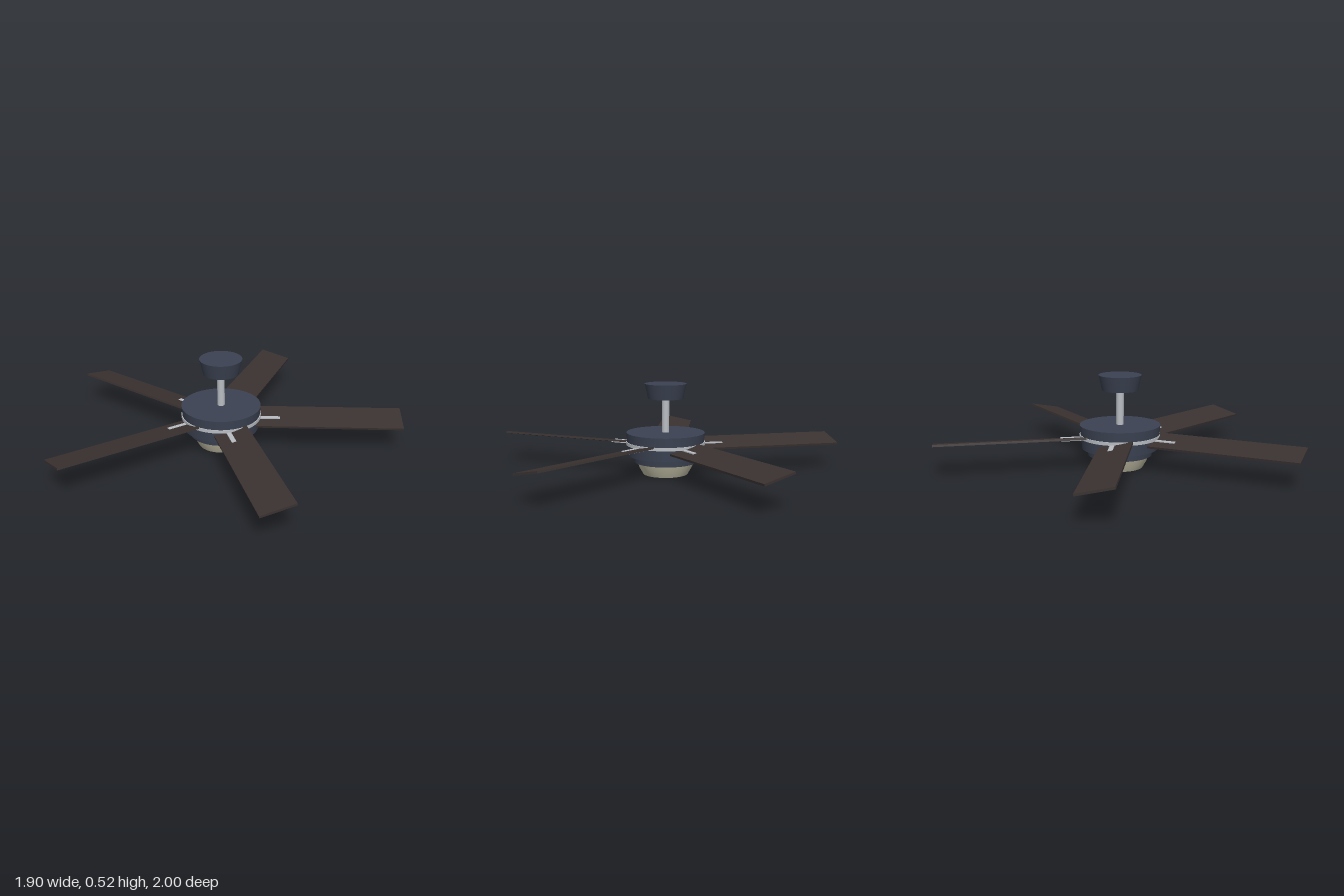
import * as THREE from 'three';

export function createModel() {
  const fan = new THREE.Group();
  fan.name = 'ceilingFan';

  const material = (name, color) => {
    const m = new THREE.MeshStandardMaterial({ color });
    m.name = name;
    return m;
  };
  const navy = material('navy metal', 0x3b4252);
  const wood = material('dark wood', 0x3a3231);
  const silver = material('silver', 0xb9bdc2);
  const cream = material('cream glass', 0xcbc7ae);

  // The hub sits off centre so the five blades fill the bounds evenly
  const hub = new THREE.Group();
  hub.name = 'hub';
  hub.position.x = -0.072;
  fan.add(hub);

  const add = (name, geometry, mat, y, parent = hub) => {
    const mesh = new THREE.Mesh(geometry, mat);
    mesh.name = name;
    mesh.position.y = y;
    parent.add(mesh);
    return mesh;
  };
  // Round part between two heights
  const drum = (name, rTop, rBottom, y0, y1, mat) =>
    add(name, new THREE.CylinderGeometry(rTop, rBottom, y1 - y0, 64), mat, (y0 + y1) / 2);

  // Ceiling mount and rod
  drum('canopy', 0.119, 0.1, 0.433, 0.518, navy);
  drum('downRod', 0.021, 0.021, 0.23, 0.44, silver);

  // Motor housing, stacked from top to bottom
  drum('upperHousing', 0.224, 0.22, 0.188, 0.24, navy);
  drum('trimRing', 0.225, 0.225, 0.17, 0.188, silver);
  drum('lowerHousing', 0.216, 0.212, 0.108, 0.17, navy);
  drum('lightCollar', 0.182, 0.178, 0.07, 0.108, navy);

  // Glass bowl with a flat base
  const bowl = [[0.128, 0], [0.148, 0.035], [0.164, 0.072]].map(p => new THREE.Vector2(...p));
  add('lightBowl', new THREE.LatheGeometry(bowl, 64), cream, 0);
  const base = add('lightBowlBase', new THREE.CircleGeometry(0.128, 64), cream, 0);
  base.rotation.x = Math.PI / 2;

  // Five pitched blades, each on a flat bracket
  const inner = 0.2, outer = 1.02, pitch = 0.205;
  for (let i = 0; i < 5; i++) {
    const arm = new THREE.Group();
    arm.name = 'bladeArm' + (i + 1);
    arm.rotation.y = (i * Math.PI * 2) / 5;
    hub.add(arm);

    const blade = add('blade', new THREE.BoxGeometry(outer - inner, 0.012, 0.188), wood, 0.168, arm);
    blade.position.x = (inner + outer) / 2;
    blade.rotation.x = pitch;

    const bracket = add('bladeBracket', new THREE.BoxGeometry(0.18, 0.011, 0.058), silver, 0.168, arm);
    bracket.position.x = 0.243;
  }
  return fan;
}
